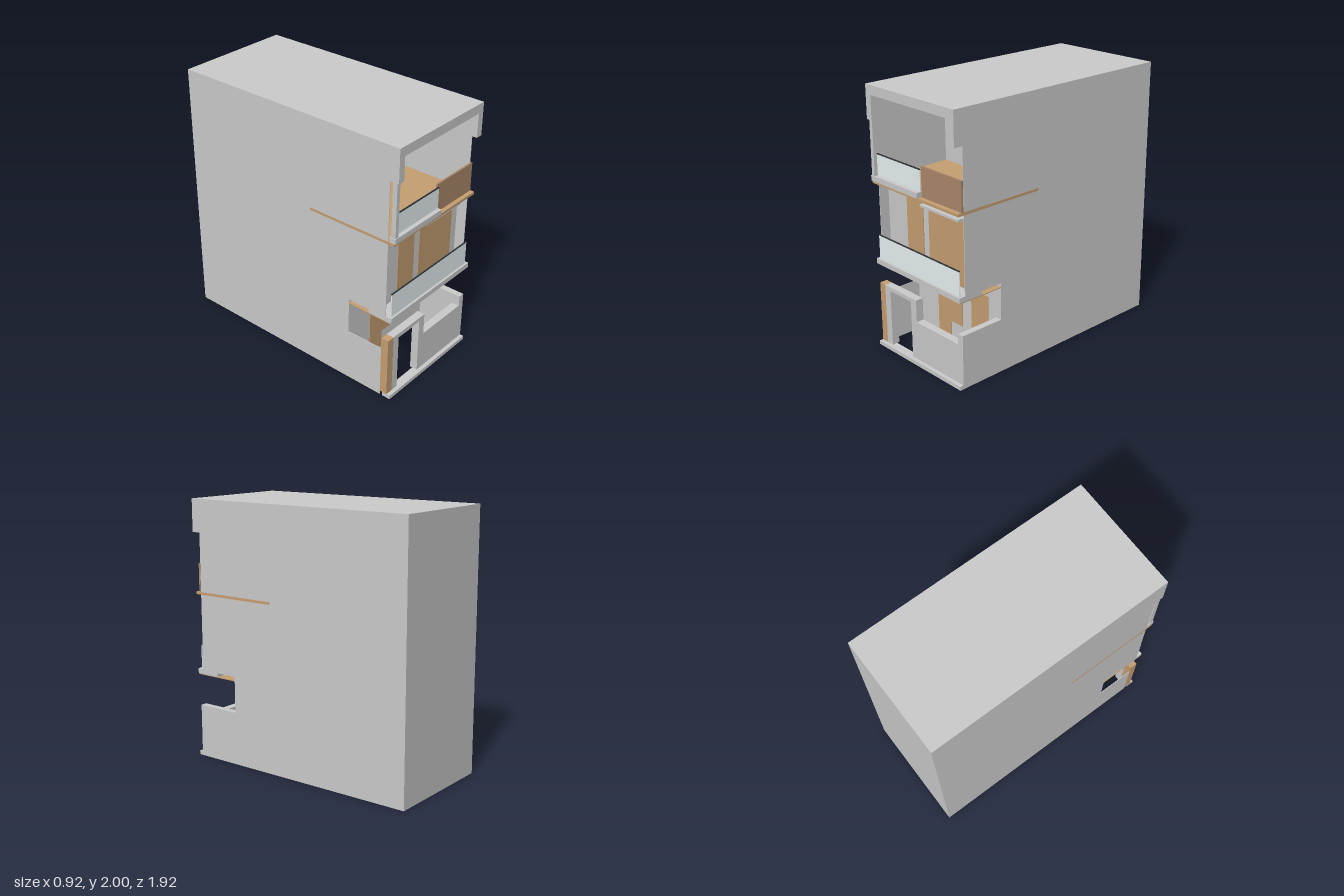
import * as THREE from 'three';

const mat = (color) => new THREE.MeshStandardMaterial({ color });

export function createModel() {
  const house = new THREE.Group();
  house.name = 'townhouse';
  const grey = mat(0xcccccc), wood = mat(0xc69f72), darkWood = mat(0xab886a);
  const glass = mat(0xe8f2f5), dark = mat(0x33383c);

  // Box given by its extents along each axis
  const box = (name, x0, x1, y0, y1, z0, z1, material = grey) => {
    const mesh = new THREE.Mesh(new THREE.BoxGeometry(x1 - x0, y1 - y0, z1 - z0), material);
    mesh.position.set((x0 + x1) / 2, (y0 + y1) / 2, (z0 + z1) / 2);
    mesh.name = name;
    house.add(mesh);
    return mesh;
  };
  const W = 0.46, T = 0.005;

  // Main masses, stepping forward or back on each storey
  box('groundStorey', -W, W, 0, 0.69, -0.96, 0.565);
  box('middleStorey', -W, W, 0.69, 1.285, -0.96, 0.81);
  box('topStorey', -W, W, 1.285, 1.93, -0.96, 0.27);
  box('roof', -W, W, 1.93, 2, -0.96, 0.96);

  // Thin side walls beside the recesses, and the corner drops under the roof
  for (const s of [-1, 1]) {
    const side = (name, t, y0, y1, z0, z1) =>
      box(name, s > 0 ? W - t : -W, s > 0 ? W : -W + t, y0, y1, z0, z1);
    side('middleSideWall', T, 0.7, 1.28, 0.81, 0.89);
    side('topSideWall', T, 1.3, 1.93, 0.27, 0.89);
    side('roofCornerDrop', 0.053, 1.75, 1.93, 0.89, 0.96);
  }

  // Ground floor courtyard: open base, low walls, gate portal
  box('baseFrontStrip', -W, W, 0, 0.03, 0.88, 0.95);
  box('courtyardRightWall', 0.41, W, 0.03, 0.41, 0.565, 0.92);
  box('baseRightStrip', 0.41, W, 0, 0.03, 0.565, 0.88);
  box('courtyardLeftWall', -W, -W + T, 0, 0.41, 0.565, 0.86);
  box('courtyardFrontWall', -0.04, 0.41, 0.03, 0.33, 0.86, 0.92);

  const portal = new THREE.Shape([
    [-0.40, 0.03], [-0.34, 0.03], [-0.34, 0.47], [-0.10, 0.47],
    [-0.10, 0.03], [-0.04, 0.03], [-0.04, 0.50], [-0.40, 0.50],
  ].map(([x, y]) => new THREE.Vector2(x, y)));
  const gate = new THREE.Mesh(
    new THREE.ExtrudeGeometry(portal, { depth: 0.06, bevelEnabled: false }), grey);
  gate.position.z = 0.86;
  gate.name = 'gatePortal';
  house.add(gate);
  box('gateWoodPillar', -W, -0.4, 0.03, 0.5, 0.86, 0.92, wood);

  // Ground floor openings
  box('entranceDoor', -0.22, -0.08, 0.06, 0.54, 0.56, 0.57, wood);
  box('entranceWindow', -0.08, 0.05, 0.2, 0.54, 0.56, 0.57, wood);
  box('groundWindow', 0.15, 0.33, 0.2, 0.54, 0.56, 0.57, wood);

  // Middle balcony
  box('middleSoffit', -W, W, 0.655, 0.661, 0.565, 0.93, wood);
  box('middleSlab', -W, W, 0.661, 0.7, 0.74, 0.94);
  box('middleGlass', -0.44, 0.44, 0.7, 0.88, 0.917, 0.923, glass);
  box('middleHandrail', -0.44, 0.44, 0.88, 0.888, 0.916, 0.924, dark);
  box('balconyDoor', -0.24, -0.06, 0.7, 1.205, 0.805, 0.815, wood);
  box('balconyWindow', 0, 0.385, 0.7, 1.205, 0.805, 0.815, wood);
  box('windowCanopy', -0.01, 0.39, 1.208, 1.225, 0.8, 0.88);

  // Top terrace
  box('terraceWoodFloor', -W - 0.001, W + 0.001, 1.28, 1.3, 0.21, 0.94, wood);
  box('terraceCurb', -W, 0.05, 1.3, 1.34, 0.9, 0.95);
  box('terraceColumn', -0.455, -0.425, 1.34, 1.75, 0.91, 0.945);
  box('terraceGlass', -0.425, 0.05, 1.34, 1.495, 0.912, 0.918, glass);
  box('terraceHandrail', -0.425, 0.05, 1.495, 1.503, 0.911, 0.919, dark);
  box('terraceWoodScreen', 0.05, W, 1.3, 1.52, 0.893, 0.907, darkWood);

  // Recessed ceiling lights
  const lamp = new THREE.CylinderGeometry(0.014, 0.014, 0.006, 16);
  const addLamp = (x, y, z) => {
    const mesh = new THREE.Mesh(lamp, dark);
    mesh.position.set(x, y, z);
    mesh.name = 'ceilingLight';
    house.add(mesh);
  };
  for (const x of [-0.22, 0.22]) {
    addLamp(x, 0.654, 0.74);
    addLamp(x, 1.279, 0.86);
  }
  for (const x of [0.18, 0.25, 0.32, 0.39]) addLamp(x, 1.929, 0.6);

  return house;
}
